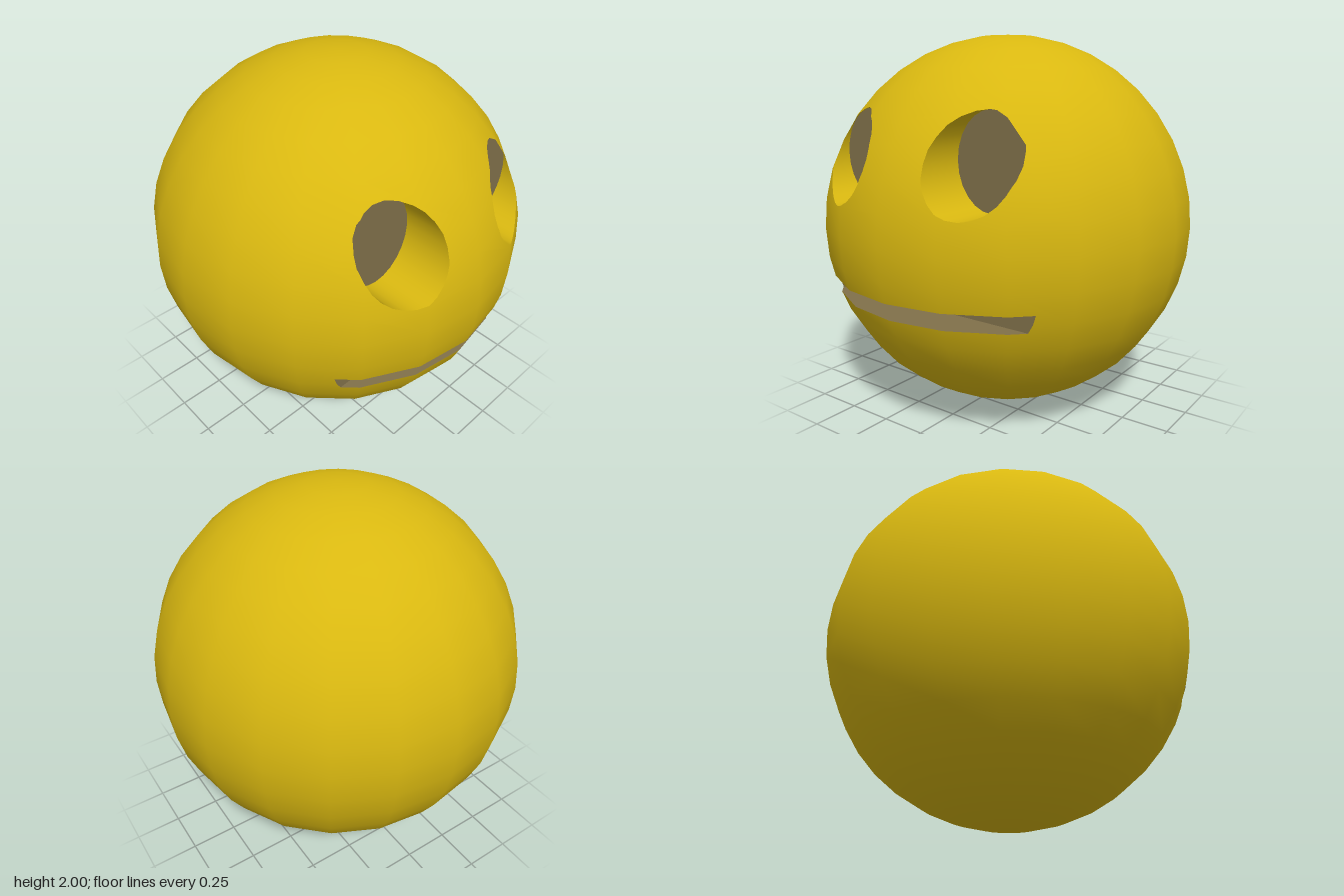
import * as THREE from 'three';

const yellow = new THREE.MeshStandardMaterial({ color: 0xd9b810 });
const brown = new THREE.MeshStandardMaterial({ color: 0x80704a });

// A plane's inside is where n.p <= d
const plane = (x, y, z, d) => ({ n: new THREE.Vector3(x, y, z), d });
const dist = (pl, p) => pl.n.dot(p) - pl.d;

// Splits a convex polygon into its parts inside and outside a plane
function split(poly, pl) {
  const inside = [], outside = [];
  poly.forEach((a, i) => {
    const b = poly[(i + 1) % poly.length];
    const da = dist(pl, a), db = dist(pl, b);
    if (da <= 1e-9) inside.push(a);
    if (da >= -1e-9) outside.push(a);
    if ((da < -1e-9 && db > 1e-9) || (da > 1e-9 && db < -1e-9)) {
      const p = a.clone().lerp(b, da / (da - db));
      inside.push(p);
      outside.push(p);
    }
  });
  return { inside, outside };
}

// Cuts a convex prism out of the skin; returns what is left and what was removed
function carve(polys, planes) {
  const kept = [], removed = [];
  for (const poly of polys) {
    let rest = poly;
    const pieces = [];
    for (const pl of planes) {
      const { inside, outside } = split(rest, pl);
      if (outside.length > 2) pieces.push(outside);
      rest = inside;
      if (rest.length < 3) break;
    }
    if (rest.length > 2) {
      kept.push(...pieces);
      removed.push(rest);
    } else kept.push(poly);
  }
  return { kept, removed };
}

// Mesh from convex polygons, with normals given by a rule
function polyMesh(name, polys, normalAt, material) {
  const pos = [], nor = [];
  polys.forEach((poly, k) => {
    for (let i = 1; i < poly.length - 1; i++) {
      for (const p of [poly[0], poly[i], poly[i + 1]]) {
        pos.push(p.x, p.y, p.z);
        nor.push(...normalAt(p, k).toArray());
      }
    }
  });
  const g = new THREE.BufferGeometry();
  g.setAttribute('position', new THREE.Float32BufferAttribute(pos, 3));
  g.setAttribute('normal', new THREE.Float32BufferAttribute(nor, 3));
  const mesh = new THREE.Mesh(g, material);
  mesh.name = name;
  return mesh;
}

// Floor and side walls of a recess, from the removed skin
function recess(name, removed, walls, floorZ, wallMaterial, wallNormal) {
  const down = p => new THREE.Vector3(p.x, p.y, floorZ);
  const quads = [], normals = [];
  for (const poly of removed) {
    poly.forEach((a, i) => {
      const b = poly[(i + 1) % poly.length];
      const pl = walls.find(w => Math.abs(dist(w, a)) < 1e-6 && Math.abs(dist(w, b)) < 1e-6);
      if (!pl) return;
      quads.push([a, b, down(b), down(a)]);
      normals.push(pl.n.clone().negate());
    });
  }
  const group = new THREE.Group();
  group.name = name;
  const front = new THREE.Vector3(0, 0, 1);
  group.add(
    polyMesh(name + 'Wall', quads, (p, k) => (wallNormal ? wallNormal(p) : normals[k]), wallMaterial),
    polyMesh(name + 'Floor', removed.map(poly => poly.map(down)), () => front, brown)
  );
  return group;
}

// Planes around an upright elliptical prism
function ellipseWalls(cx, cy, rx, ry, sides) {
  const walls = [];
  const at = i => {
    const t = (i / sides) * Math.PI * 2;
    return [cx + rx * Math.cos(t), cy + ry * Math.sin(t)];
  };
  for (let i = 0; i < sides; i++) {
    const [ax, ay] = at(i), [bx, by] = at(i + 1);
    const n = new THREE.Vector3(by - ay, ax - bx, 0).normalize();
    walls.push({ n, d: n.x * ax + n.y * ay });
  }
  return walls;
}

export function createModel() {
  const model = new THREE.Group();
  const face = new THREE.Group();
  face.name = 'face';
  face.position.y = 1;
  model.add(face);

  // Ball skin as triangles
  const ball = new THREE.SphereGeometry(1, 20, 20).toNonIndexed().attributes.position;
  let skin = [];
  for (let i = 0; i < ball.count; i += 3) {
    skin.push([0, 1, 2].map(j => new THREE.Vector3().fromBufferAttribute(ball, i + j)));
  }

  // Oval eye sockets
  const rx = 0.198, ry = 0.235, cy = 0.387, eyeZ = 0.655;
  for (const [name, cx] of [['rightEye', -0.36], ['leftEye', 0.39]]) {
    const walls = ellipseWalls(cx, cy, rx, ry, 24);
    const { kept, removed } = carve(skin, [plane(0, 0, -1, -eyeZ), ...walls]);
    skin = kept;
    const normal = p =>
      new THREE.Vector3((cx - p.x) / rx ** 2, (cy - p.y) / ry ** 2, 0).normalize();
    face.add(recess(name, removed, walls, eyeZ, yellow, normal));
  }

  // Straight mouth slot, open at both ends
  const mouthZ = 0.69;
  const walls = [plane(0, 1, 0, -0.262), plane(0, -1, 0, 0.352)];
  const { kept, removed } = carve(skin, [plane(0, 0, -1, -mouthZ), ...walls]);
  skin = kept;
  face.add(recess('mouth', removed, walls, mouthZ, brown));

  // Round head
  face.add(polyMesh('head', skin, p => p.clone().normalize(), yellow));
  return model;
}
